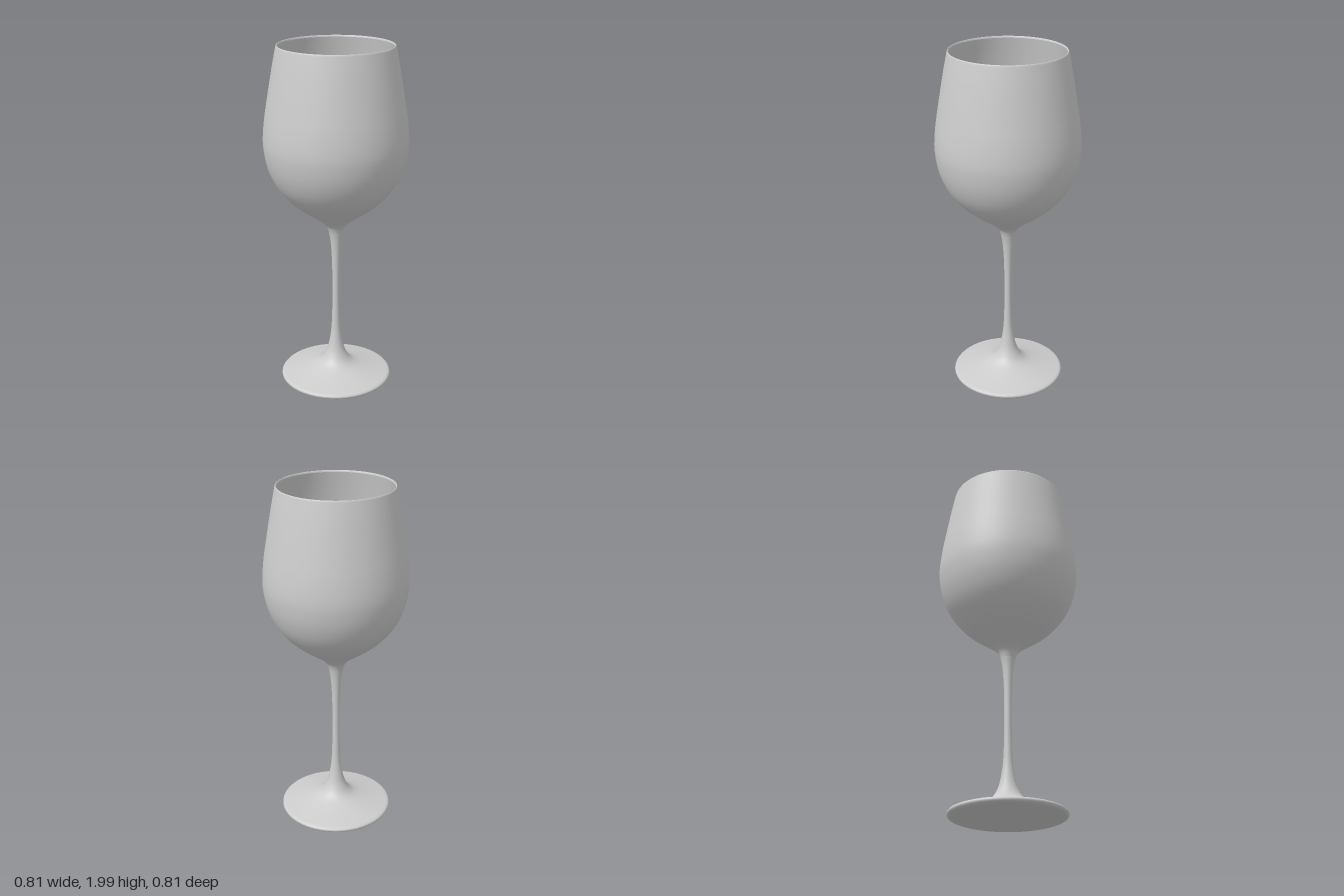
import * as THREE from 'three';

const SEGMENTS = 48;

// Smooth curve through [radius, height] pairs, sampled evenly
function smooth(pairs, samples) {
  const pts = pairs.map(([r, y]) => new THREE.Vector2(r, y));
  return new THREE.SplineCurve(pts).getPoints(samples).map((p) => new THREE.Vector2(Math.max(p.x, 0), p.y));
}

export function createModel() {
  const glass = new THREE.MeshStandardMaterial({ color: 0xcccccc });
  glass.name = 'pale grey glass';
  const group = new THREE.Group();
  group.name = 'wineGlass';

  // Turned part; profiles run upwards on outer walls, downwards on inner walls
  function turned(name, points) {
    const mesh = new THREE.Mesh(new THREE.LatheGeometry(points, SEGMENTS, Math.PI / 2), glass);
    mesh.name = name;
    group.add(mesh);
  }

  // Flat underside
  turned('footUnderside', [new THREE.Vector2(0, 0.008), new THREE.Vector2(0.27, 0.008), new THREE.Vector2(0.3, 0.009)]);

  // Rounded foot edge
  turned('footEdge', smooth([[0.3, 0.009], [0.318, 0.015], [0.325, 0.027], [0.32, 0.037], [0.308, 0.042]], 12));

  // Foot top sweeping up into the slender stem
  turned('footAndStem', smooth([
    [0.308, 0.042], [0.25, 0.055], [0.18, 0.073], [0.125, 0.092], [0.09, 0.115], [0.065, 0.15], [0.046, 0.2],
    [0.03, 0.29], [0.024, 0.38], [0.021, 0.5], [0.021, 0.6], [0.022, 0.7], [0.026, 0.8], [0.033, 0.88],
    [0.042, 0.93],
  ], 56));

  // Outside of the bowl, tapering to the mouth
  turned('bowlOutside', smooth([
    [0.042, 0.93], [0.056, 0.965], [0.09, 1.0], [0.16, 1.05], [0.228, 1.1], [0.29, 1.16], [0.345, 1.235],
    [0.383, 1.325], [0.402, 1.42], [0.404, 1.5], [0.394, 1.6], [0.378, 1.7], [0.361, 1.8], [0.343, 1.9],
    [0.325, 1.99],
  ], 56));

  // Thin rounded rim
  turned('rim', smooth([[0.325, 1.99], [0.323, 1.997], [0.32, 2.0], [0.317, 1.997], [0.315, 1.99]], 8));

  // Inside of the bowl
  turned('bowlInside', smooth([
    [0.315, 1.99], [0.333, 1.9], [0.351, 1.8], [0.368, 1.7], [0.384, 1.6], [0.394, 1.5], [0.392, 1.42],
    [0.373, 1.33], [0.335, 1.245], [0.28, 1.172], [0.218, 1.115], [0.15, 1.065], [0.08, 1.025], [0, 1.01],
  ], 52));

  return group;
}
